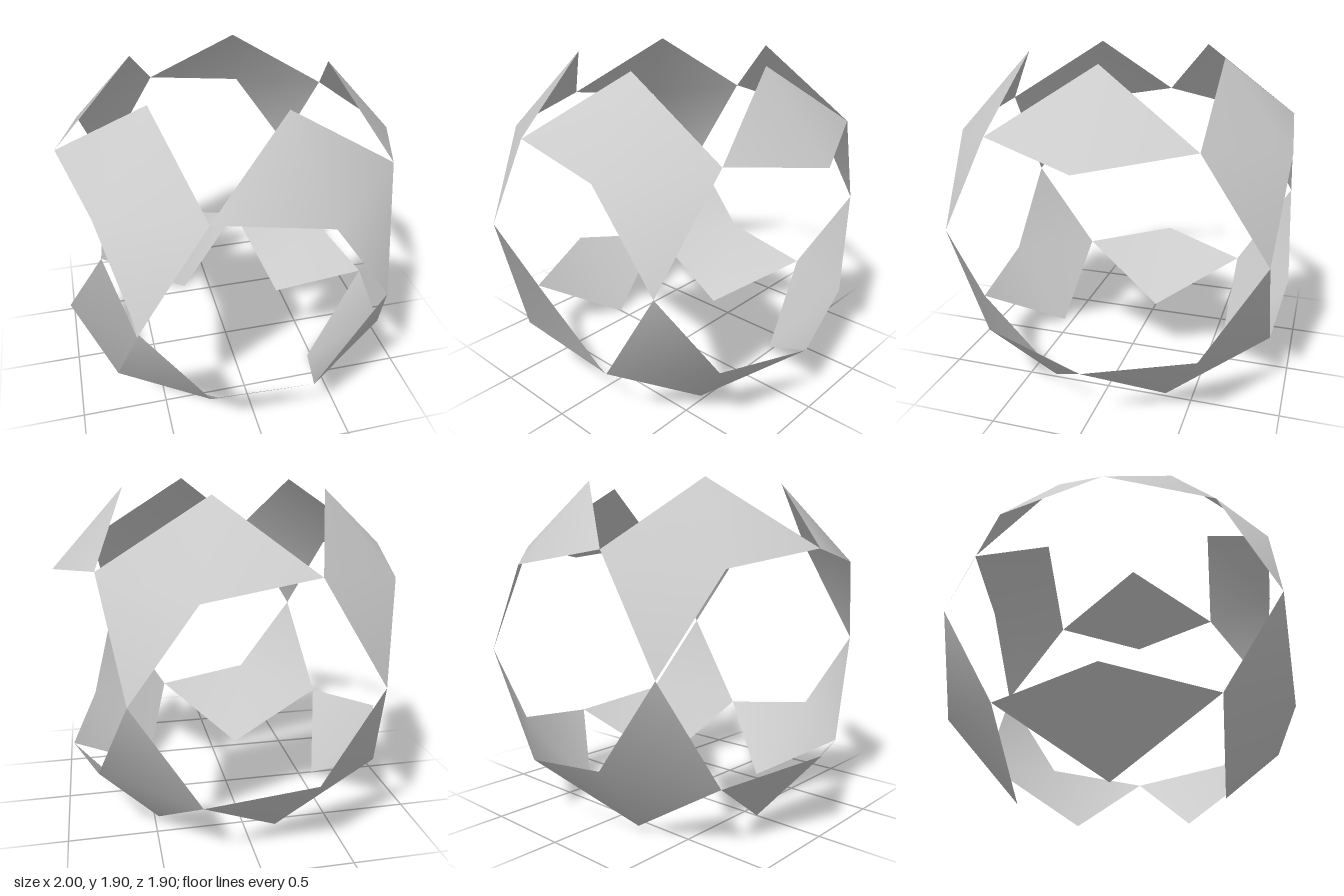
import * as THREE from 'three';

const R = Math.sqrt(5) / 2;                       // radius of the sphere all corners lie on
const HIGH = R * Math.sqrt((5 + Math.sqrt(5)) / 10); // height of the top ring, radius of the middle ring
const LOW = Math.sqrt(R * R - HIGH * HIGH);       // radius of the top ring, height of the middle ring

// Point at a height on the sphere, angle in degrees from +x towards +z
function onSphere(angle, height) {
  const r = Math.sqrt(R * R - height * height);
  const a = THREE.MathUtils.degToRad(angle);
  return [r * Math.cos(a), height, r * Math.sin(a)];
}

// Fan of shallow triangles around a raised hub; waist is the angle of the equator corner, if any
function createPanel(name, angle, waist, material) {
  let rim = [onSphere(angle + 36, LOW), onSphere(angle, HIGH), onSphere(angle - 36, LOW)];
  if (waist !== null) {
    const corner = onSphere(waist, 0);
    rim = waist < angle ? [...rim, corner] : [corner, ...rim];
  }
  const index = [];
  for (let i = 1; i < rim.length; i++) index.push(0, i + 1, i);
  const geometry = new THREE.BufferGeometry();
  const positions = [onSphere(angle, 0.5), ...rim].flat();
  geometry.setAttribute('position', new THREE.Float32BufferAttribute(positions, 3));

  // Turn the fan outward if it winds the other way
  const [h, a, b] = [0, 3, 6].map((k) => new THREE.Vector3().fromArray(positions, k));
  const normal = b.clone().sub(h).cross(a.clone().sub(h));
  if (normal.dot(h) < 0) index.reverse();
  geometry.setIndex(index);
  geometry.computeVertexNormals();

  const mesh = new THREE.Mesh(geometry, material);
  mesh.name = name;
  return mesh;
}

// Ring of five panels: one short kite and two mirrored pairs of chevrons
function createRing(name, material) {
  const ring = new THREE.Group();
  ring.name = name;
  ring.add(createPanel('kitePanel', 0, null, material));
  for (const [angle, waist] of [[72, 54], [144, 126], [216, 234], [288, 306]]) {
    ring.add(createPanel('chevronPanel', angle, waist, material));
  }
  ring.position.y = HIGH;
  return ring;
}

export function createModel() {
  const material = new THREE.MeshStandardMaterial({ color: 0xcccccc, side: THREE.DoubleSide });
  const model = new THREE.Group();
  model.name = 'openPanelSphere';

  // The lower ring is the upper one turned half way round the z axis
  const upper = createRing('upperRing', material);
  const lower = createRing('lowerRing', material);
  lower.rotation.z = Math.PI;
  model.add(upper, lower);
  return model;
}
